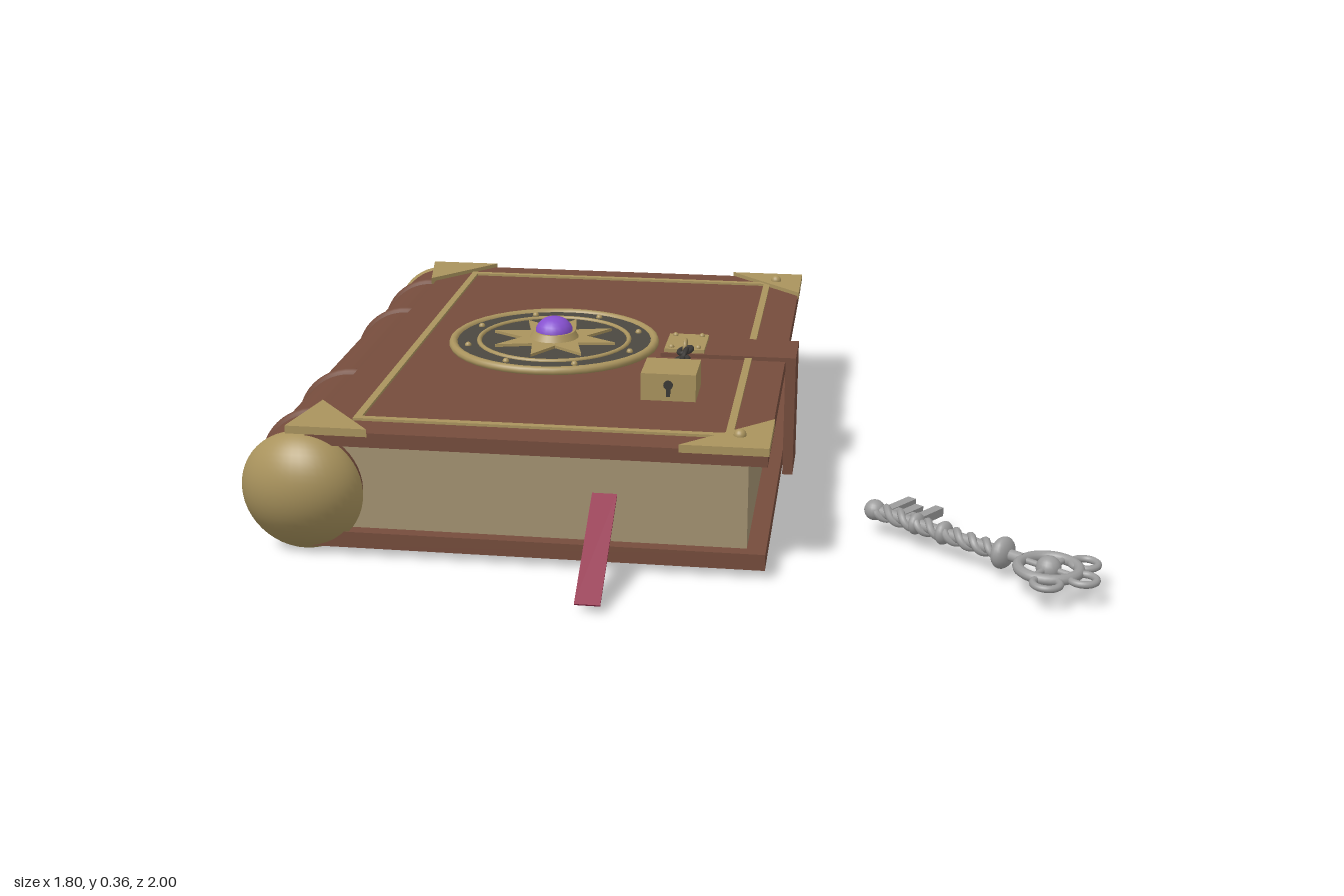
import * as THREE from 'three';

const mat = (name, color) => {
  const m = new THREE.MeshStandardMaterial({ color });
  m.name = name;
  return m;
};

export function createModel() {
  const leather = mat('brown leather', 0x754c3c);
  const gold = mat('aged gold', 0xa9935d);
  const paper = mat('old paper', 0xa39271);
  const slate = mat('dark slate', 0x4b4840);
  const iron = mat('dark iron', 0x3a3835);
  const cloth = mat('crimson cloth', 0x922c4a);
  const purple = mat('purple gem', 0x8650cf);
  const silver = mat('silver', 0x9c9c9c);
  cloth.side = THREE.DoubleSide;

  const root = new THREE.Group();
  root.name = 'lockedBookAndKey';
  const group = (name, parent, x = 0, y = 0, z = 0) => {
    const g = new THREE.Group();
    g.name = name;
    g.position.set(x, y, z);
    parent.add(g);
    return g;
  };
  const add = (name, parent, geo, material, x = 0, y = 0, z = 0) => {
    const m = new THREE.Mesh(geo, material);
    m.name = name;
    m.position.set(x, y, z);
    parent.add(m);
    return m;
  };
  // box given by its limits
  const box = (name, parent, material, x0, x1, y0, y1, z0, z1) =>
    add(name, parent, new THREE.BoxGeometry(x1 - x0, y1 - y0, z1 - z0), material,
      (x0 + x1) / 2, (y0 + y1) / 2, (z0 + z1) / 2);
  const ball = (r) => new THREE.SphereGeometry(r, 20, 12);
  const flatRing = (r, t) => new THREE.TorusGeometry(r, t, 10, 40).rotateX(Math.PI / 2);
  // flat shape, drawn in (x, z) and raised along y
  const plate = (pts, depth) => new THREE.ExtrudeGeometry(
    new THREE.Shape(pts.map(([x, z]) => new THREE.Vector2(x, -z))),
    { depth, bevelEnabled: false }).rotateX(-Math.PI / 2);

  // ---- Book ----
  const book = group('book', root, -0.125, 0, -0.14);
  book.rotation.y = -Math.PI / 10;
  box('bottomCover', book, leather, -0.43, 0.58, 0.02, 0.057, -0.715, 0.715);
  box('topCover', book, leather, -0.43, 0.58, 0.258, 0.291, -0.715, 0.715);
  box('pages', book, paper, -0.45, 0.538, 0.057, 0.258, -0.685, 0.685);

  // rounded spine with raised bands and domed end caps
  const spine = group('spine', book, -0.443, 0.15, 0);
  add('spineRoll', spine, new THREE.CylinderGeometry(0.131, 0.131, 1.42, 48).rotateX(Math.PI / 2), leather);
  for (const z of [-0.56, -0.27, 0.27, 0.56])
    add('spineBand', spine, new THREE.TorusGeometry(0.124, 0.017, 10, 48), leather, 0, 0, z);
  for (const s of [-1, 1]) {
    const dome = new THREE.SphereGeometry(0.138, 40, 24);
    const p = dome.attributes.position; // flattened, keeping its rounded normals
    for (let i = 0; i < p.count; i++) p.setZ(i, p.getZ(i) * 0.09);
    add('spineCap', spine, dome, gold, 0, 0, s * 0.711);
  }

  // gold corner plates
  const L = 0.183;
  for (const s of [-1, 1]) {
    const left = [[-0.473, s * 0.718], [-0.473 + L, s * 0.718], [-0.44, s * (0.718 - L)]];
    const right = [[0.583, s * 0.718], [0.583, s * (0.718 - L - 0.01)], [0.583 - L - 0.01, s * 0.718]];
    for (const pts of [left, right])
      add('cornerPlate', book, plate(pts, 0.018), gold, 0, 0.283, 0);
    add('cornerRivet', book, ball(0.014), gold, 0.515, 0.302, s * 0.642);
  }

  // gold frame line on the cover
  for (const s of [-1, 1])
    box('frameLong', book, gold, ...(s < 0 ? [-0.343, -0.326] : [0.482, 0.499]), 0.288, 0.297, -0.636, 0.636);
  for (const s of [-1, 1])
    box('frameShort', book, gold, -0.326, 0.482, 0.288, 0.297, s * 0.6275 - 0.0085, s * 0.6275 + 0.0085);

  // ---- Medallion ----
  const medal = group('medallion', book, 0, 0.291, 0);
  add('medallionDisc', medal, new THREE.CylinderGeometry(0.255, 0.255, 0.012, 64), slate, 0, 0.006, 0);
  add('outerRing', medal, flatRing(0.251, 0.011), gold, 0, 0.008, 0);
  add('innerRing', medal, flatRing(0.187, 0.006), gold, 0, 0.012, 0);
  const star = [];
  for (let i = 0; i < 16; i++) {
    const a = (i + 0.5) * Math.PI / 8, r = i % 2 ? 0.08 : 0.16;
    star.push([Math.cos(a) * r, Math.sin(a) * r]);
  }
  add('star', medal, plate(star, 0.008), gold, 0, 0.011, 0);
  for (let i = 0; i < 8; i++) {
    const a = (i + 0.5) * Math.PI / 4;
    add('medallionStud', medal, ball(0.008), gold, Math.cos(a) * 0.218, 0.013, Math.sin(a) * 0.218);
  }
  add('gemSetting', medal, new THREE.CylinderGeometry(0.052, 0.062, 0.018, 40), gold, 0, 0.026, 0);
  const gem = add('gem', medal, ball(0.047), purple, 0, 0.032, 0);
  gem.scale.y = 0.82;

  // ---- Strap, hasp, chain and padlock ----
  box('strapTop', book, leather, 0.276, 0.606, 0.289, 0.301, -0.073, 0.073);
  box('strapSide', book, leather, 0.581, 0.606, 0, 0.301, -0.073, 0.073);
  box('haspPlate', book, gold, 0.284, 0.382, 0.3, 0.31, -0.066, 0.066);
  for (const x of [0.3, 0.366])
    for (const z of [-0.05, 0.05]) add('haspRivet', book, ball(0.007), gold, x, 0.311, z);
  const eye = add('haspRing', book, new THREE.TorusGeometry(0.016, 0.005, 8, 20), gold, 0.336, 0.318, 0.066);
  eye.rotation.y = Math.PI / 2;

  const from = new THREE.Vector3(0.338, 0.314, 0.085), to = new THREE.Vector3(0.335, 0.31, 0.235);
  for (let i = 0; i < 5; i++) {
    const link = add('chainLink', book, new THREE.TorusGeometry(0.016, 0.006, 8, 18), iron);
    link.position.lerpVectors(from, to, i / 4);
    link.rotation.set(Math.PI / 2, i % 2 ? 1.1 : 0.25, 0);
    link.scale.y = 1.4;
  }
  const lock = group('padlock', book, 0.333, 0.325, 0.292);
  add('shackle', lock, new THREE.TorusGeometry(0.036, 0.009, 10, 24, Math.PI).rotateX(-Math.PI / 2), iron, 0, -0.01, 0);
  box('lockBody', lock, gold, -0.063, 0.063, -0.032, 0.032, 0, 0.12);
  add('keyholeTop', lock, new THREE.CylinderGeometry(0.011, 0.011, 0.004, 20).rotateX(Math.PI / 2), iron, 0, 0.006, 0.12);
  box('keyholeSlot', lock, iron, -0.005, 0.005, -0.022, 0.004, 0.118, 0.122);

  // ---- Ribbon bookmark, sloping from the page edge to the ground ----
  const ribbon = add('ribbon', book, new THREE.BoxGeometry(0.055, 0.004, 0.3), cloth, 0.227, 0.094, 0.808);
  ribbon.rotation.x = 0.53;

  // ---- Key, shaft along its own x ----
  const key = group('key', root, 0.78, 0.056, 0.886);
  key.rotation.y = 2.178;
  add('bowRing', key, flatRing(0.064, 0.012), silver);
  for (const a of [-1, 0, 1])
    add('bowLoop', key, flatRing(0.028, 0.008), silver,
      -0.084 * Math.cos(a * Math.PI / 3), 0, 0.084 * Math.sin(a * Math.PI / 3));
  add('bowBoss', key, ball(0.027), silver);
  for (let i = 0; i < 4; i++) {
    const spoke = add('bowSpoke', key, new THREE.CylinderGeometry(0.007, 0.007, 0.064, 10).rotateZ(Math.PI / 2), silver);
    const a = i * Math.PI / 2;
    spoke.position.set(Math.cos(a) * 0.034, 0, Math.sin(a) * 0.034);
    spoke.rotation.y = -a;
  }
  add('shaft', key, new THREE.CylinderGeometry(0.013, 0.013, 0.4, 16).rotateZ(Math.PI / 2), silver, 0.265, 0, 0);
  for (const phase of [0, Math.PI]) {
    const pts = [];
    for (let i = 0; i <= 60; i++) {
      const a = i * 0.45 + phase;
      pts.push(new THREE.Vector3(0.12 + i * 0.0055, Math.cos(a) * 0.013, Math.sin(a) * 0.013));
    }
    add('shaftTwist', key, new THREE.TubeGeometry(new THREE.CatmullRomCurve3(pts), 120, 0.009, 8), silver);
  }
  for (const [x, r] of [[0.115, 0.036], [0.27, 0.027], [0.345, 0.025]]) {
    const collar = add('collar', key, ball(r), silver, x, 0, 0);
    collar.scale.x = 0.6;
  }
  add('shaftTip', key, ball(0.024), silver, 0.462, 0, 0);
  for (const [x, len] of [[0.355, 0.1], [0.393, 0.075], [0.432, 0.1]])
    box('keyTooth', key, silver, x - 0.011, x + 0.011, -0.01, 0.01, 0, len);
  box('keyBit', key, silver, 0.355, 0.432, -0.008, 0.008, 0, 0.035);

  return root;
}
